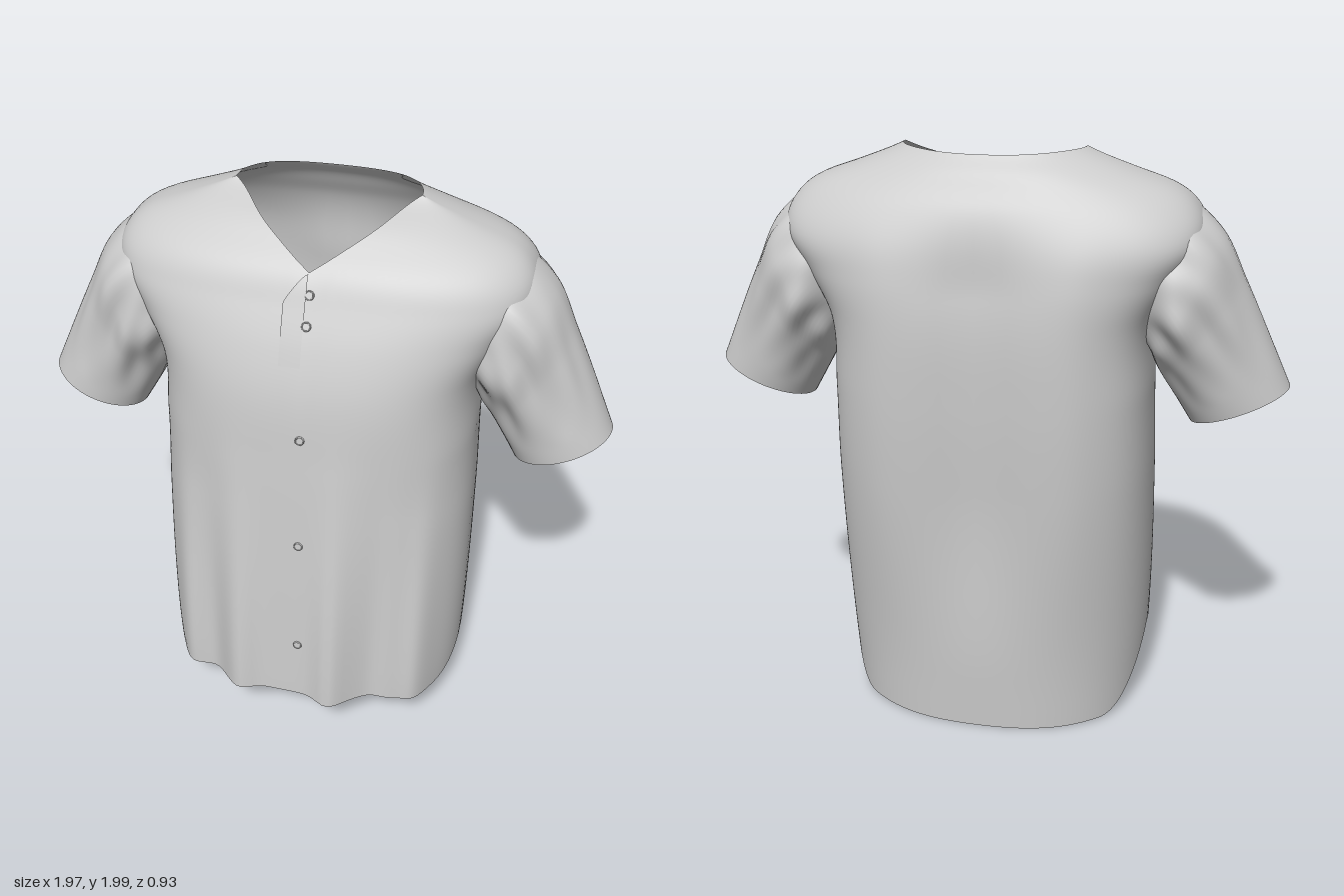
import * as THREE from 'three';

const cloth = new THREE.MeshStandardMaterial({ color: 0xcccccc, side: THREE.DoubleSide });
const smooth = THREE.MathUtils.smoothstep;
const lerp = THREE.MathUtils.lerp;
const bump = (x, c, w) => Math.exp(-(((x - c) / w) ** 2));

// Smooth interpolation through rows of [parameter, ...values]
function table(rows) {
  const n = rows[0].length - 1;
  const it = new THREE.CubicInterpolant(rows.map(r => r[0]), rows.flatMap(r => r.slice(1)), n, new Float32Array(n));
  return t => [...it.evaluate(t)];
}

// Closed tube or open sheet over u, v in 0..1
function surface(nu, nv, point, closed, skip = () => false) {
  const cols = closed ? nu : nu + 1, pts = [], index = [];
  for (let j = 0; j <= nv; j++) for (let i = 0; i < cols; i++) pts.push(point(i / nu, j / nv));
  for (let j = 0; j < nv; j++) for (let i = 0; i < nu; i++) {
    const a = j * cols + i, b = j * cols + (i + 1) % cols, c = a + cols, d = b + cols;
    if (!skip(pts[a])) index.push(a, c, b, b, c, d);
  }
  const g = new THREE.BufferGeometry();
  g.setAttribute('position', new THREE.Float32BufferAttribute(pts.flat(), 3));
  g.setIndex(index);
  g.computeVertexNormals();
  return g;
}

function add(parent, name, geometry) {
  const m = new THREE.Mesh(geometry, cloth);
  m.name = name;
  parent.add(m);
  return m;
}

// Torso sections: height, half width, side z, front z, back z
const section = table([
  [0, 0.53, 0, 0.425, -0.41], [0.3, 0.548, 0, 0.41, -0.425], [0.9, 0.547, -0.02, 0.37, -0.463],
  [1.2, 0.538, -0.04, 0.345, -0.476], [1.45, 0.543, -0.07, 0.315, -0.475], [1.6, 0.62, -0.09, 0.268, -0.457],
  [1.72, 0.69, -0.1, 0.212, -0.43], [1.82, 0.663, -0.1, 0.157, -0.39], [1.88, 0.59, -0.1, 0.092, -0.355],
  [1.93, 0.455, -0.1, 0.025, -0.325], [1.97, 0.35, -0.1, -0.06, -0.29], [1.992, 0.3, -0.1, -0.1, -0.275],
]);
const TOP = 1.992, TIP = 1.82, NECK = 0.3;

// Squareness of the sections, greatest around the chest and shoulder blades
const frontPower = y => 2.35 + 0.35 * smooth(y, 1, 1.5) * (1 - smooth(y, 1.75, 1.95));
const backPower = y => 2.3 + 0.9 * smooth(y, 0.1, 1.2) * (1 - smooth(y, 1.65, 1.95));

// Drape folds, deepest near the hem at the front and between the shoulder blades at the back
function folds(x, y, front) {
  const k = 1 - smooth(y, 0.2, 1.4);
  if (front) return k * (0.05 * bump(x, 0.13, 0.06) + 0.04 * bump(x, -0.21, 0.06)
    + 0.035 * bump(x, 0.43, 0.05) + 0.035 * bump(x, -0.43, 0.05) - 0.02 * bump(x, 0.27, 0.05) - 0.02 * bump(x, -0.32, 0.05));
  const b = smooth(y, 0.2, 0.9) * (1 - smooth(y, 1.55, 1.85));
  return b * (0.04 * bump(x, 0, 0.15) - 0.008 * (bump(x, 0.32, 0.09) + bump(x, -0.32, 0.09)));
}

// Superellipse cosine and sine at a given height
function rounded(angle, y) {
  const c = Math.cos(angle), s = Math.sin(angle), e = 2 / (s > 0 ? frontPower(y) : backPower(y));
  return [Math.sign(c) * Math.abs(c) ** e, Math.sign(s) * Math.abs(s) ** e];
}

function torsoPoint(angle, y) {
  const [w, c, f, b] = section(y), [cx, s] = rounded(angle, y);
  const x = w * cx, z = c + (s > 0 ? s * (f - c) : -s * (b - c));
  return [x, y, z + folds(x, y, s > 0) * smooth(Math.abs(s), 0, 0.5)];
}

// Front surface z at a given x, y
function frontZ(x, y) {
  const [w, c, f] = section(y), p = frontPower(y);
  return c + (f - c) * (1 - Math.abs(x / w) ** p) ** (1 / p) + folds(x, y, true);
}

// Hem: high at the sides, long shirt tail at the back
function hem(angle) {
  const s = rounded(angle, 0)[1];
  if (s > 0) return 0.27 - 0.08 * smooth(s, 0, 0.55) + 0.018 * smooth(s, 0.8, 1);
  return 0.27 * (1 - smooth(-s, 0, 0.7)) + 0.008 * (1 - smooth(-s, 0.7, 1));
}

// V neckline at the front, round at the back
function neckline(angle) {
  const s = rounded(angle, TOP)[1];
  if (s <= 0) return TOP - 0.012 * s ** 4;
  let lo = TIP, hi = TOP;
  for (let i = 0; i < 30; i++) {
    const y = (lo + hi) / 2;
    if (Math.abs(torsoPoint(angle, y)[0]) > NECK * (y - TIP) / (TOP - TIP)) lo = y; else hi = y;
  }
  return lo;
}

// Sleeve sections: t, outer x, outer y, inner x, inner y, centre z, half depth
const sleeveSection = table([
  [0, 0.48, 1.85, 0.46, 1.42, -0.1, 0.16], [0.18, 0.61, 1.842, 0.515, 1.36, -0.1, 0.225],
  [0.4, 0.745, 1.735, 0.542, 1.31, -0.105, 0.237], [0.6, 0.827, 1.575, 0.575, 1.25, -0.1, 0.2],
  [0.8, 0.905, 1.41, 0.618, 1.175, -0.09, 0.17], [1, 0.987, 1.23, 0.665, 1.095, -0.08, 0.152],
]);

function sleevePoint(u, t) {
  const [ox, oy, ix, iy, cz, h] = sleeveSection(t);
  const a = u * Math.PI * 2, fade = Math.sin(Math.PI * Math.min(1, t * 1.1)) * Math.abs(Math.sin(a));
  const r = 1 + 0.05 * fade * Math.sin(7 * a + 3 * t) + 0.025 * fade * Math.sin(11 * a - 9 * t);
  const k = r * Math.cos(a) / 2;
  return [(ox + ix) / 2 + (ox - ix) * k, (oy + iy) / 2 + (oy - iy) * k, cz + h * r * Math.sin(a)];
}

export function createModel() {
  const shirt = new THREE.Group();
  shirt.name = 'shirt';

  // Torso and shoulders, open at the armholes
  add(shirt, 'torso', surface(160, 90, (u, v) => {
    const a = u * Math.PI * 2;
    return torsoPoint(a, lerp(hem(a), neckline(a), 1 - (1 - v) ** 1.5));
  }, true, ([x, y, z]) => y > 1.45 && y < 1.67 && Math.abs(x) > 0.57 + (y - 1.45) * 0.2 && Math.abs(z + 0.1) < 0.18));

  // Mirrored sleeves, running on from the shoulders
  for (const side of [1, -1]) {
    add(shirt, side > 0 ? 'leftSleeve' : 'rightSleeve', surface(80, 40, (u, v) => {
      const [x, y, z] = sleevePoint(side * u, v);
      return [side * x, y, z];
    }, true));
  }

  // Curved overlap where the front closes at the collar
  add(shirt, 'placketFlap', surface(12, 16, (u, v) => {
    const x = -0.07 * u;
    const y = lerp(1.55, TIP - 0.08 * u ** 1.4, v);
    return [x, y, frontZ(x, y) + 0.009 * v];
  }, false));

  // Flat buttons lying on the slope of the front
  for (const y of [1.762, 1.675, 1.307, 0.887, 0.445]) {
    const button = new THREE.Group();
    button.name = 'button';
    const disc = add(button, 'buttonDisc', new THREE.CylinderGeometry(0.014, 0.016, 0.006, 20));
    disc.rotation.x = Math.PI / 2;
    add(button, 'buttonRim', new THREE.TorusGeometry(0.0135, 0.002, 6, 20)).position.z = 0.003;
    button.position.set(0.01, y, frontZ(0.01, y) + 0.002);
    button.rotation.x = Math.atan2(frontZ(0.01, y + 0.02) - frontZ(0.01, y - 0.02), 0.04);
    shirt.add(button);
  }
  return shirt;
}
